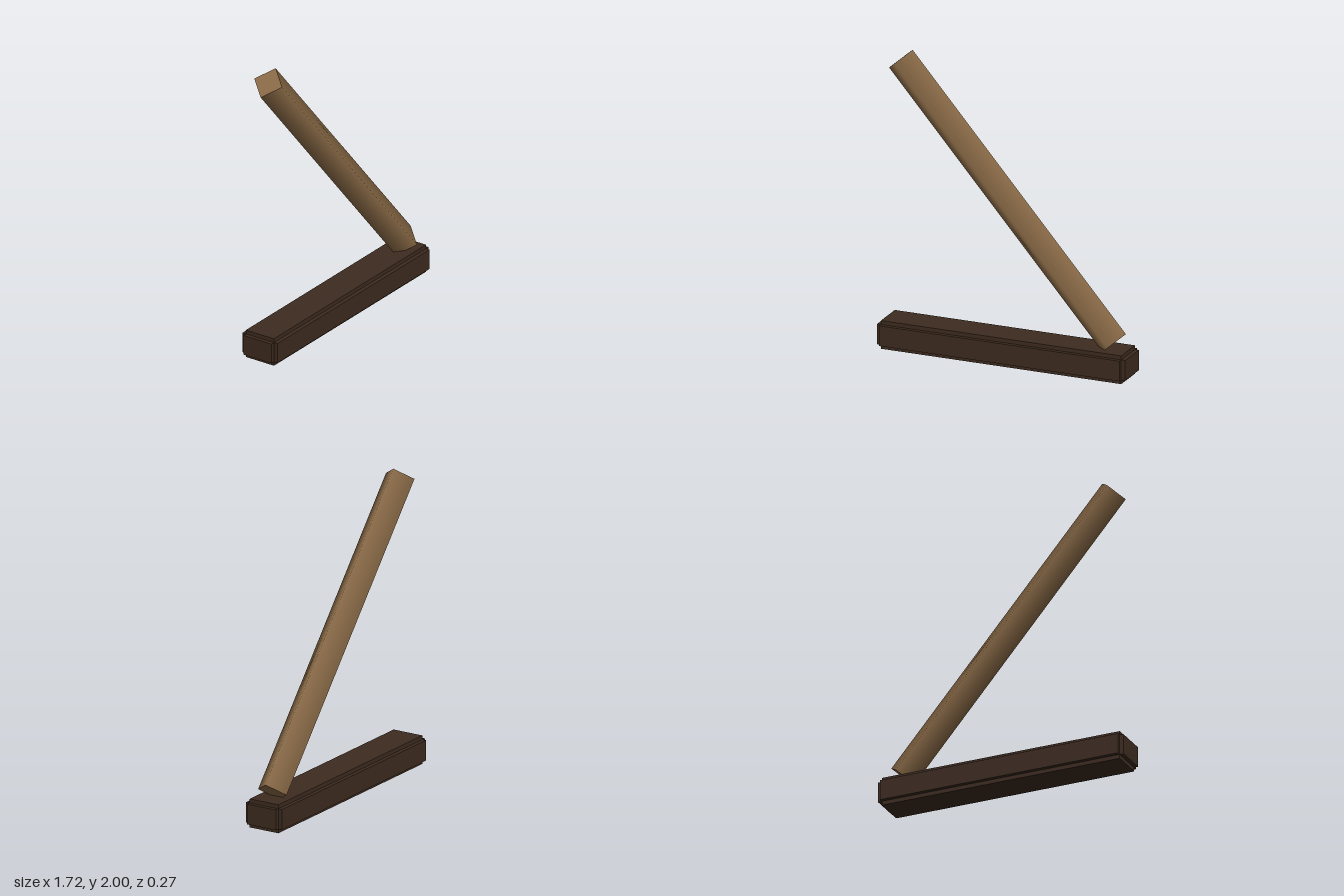
import * as THREE from 'three';

export function createModel() {
  const model = new THREE.Group();
  const darkWood = new THREE.MeshStandardMaterial({ color: 0x3d2b1f });
  const lightWood = new THREE.MeshStandardMaterial({ color: 0x8b6b47 });
  darkWood.name = 'dark wood';
  lightWood.name = 'light wood';

  // Base beam: three crossing blocks leave a small rebate along every edge
  const base = new THREE.Group();
  base.name = 'baseBeam';
  const blocks = [
    ['beamCore', 1.664, 0.19, 0.218],
    ['beamSides', 1.664, 0.136, 0.272],
    ['beamEnds', 1.718, 0.136, 0.218],
  ];
  for (const [name, w, h, d] of blocks) {
    const block = new THREE.Mesh(new THREE.BoxGeometry(w, h, d), darkWood);
    block.name = name;
    block.position.y = 0.095;
    base.add(block);
  }
  model.add(base);

  // Leaning pole: four-sided with smooth normals, resting on the left end of the base
  const foot = new THREE.Vector3(0.735, 0.228, 0);
  const tip = new THREE.Vector3(-0.742, 1.93, 0);
  const along = tip.clone().sub(foot);
  const pole = new THREE.Mesh(new THREE.CylinderGeometry(0.108, 0.108, along.length(), 4), lightWood);
  pole.name = 'leaningPole';
  pole.position.copy(foot).add(tip).multiplyScalar(0.5);
  pole.rotation.z = Math.atan2(-along.x, along.y);
  model.add(pole);

  return model;
}
